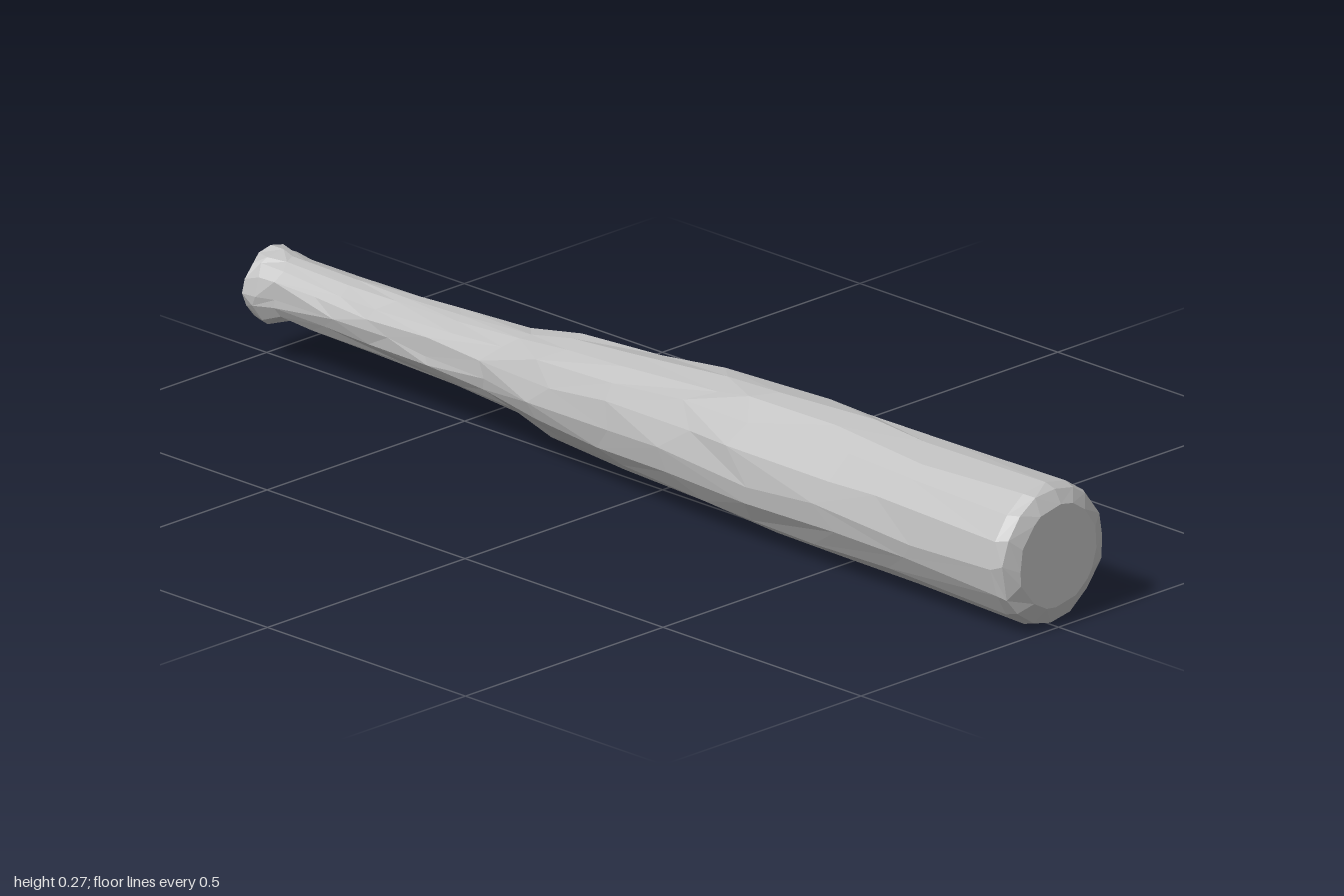
import * as THREE from 'three';

const SIDES = 16;

// Stations along the bat: x, centre y, radius, jitter along x, jitter of radius
const STATIONS = [
  [-1.0, 0.139, 0.052, 0, 0.003],
  [-0.99, 0.138, 0.069, 0.004, 0.003],
  [-0.965, 0.138, 0.07, 0.01, 0.004],
  [-0.925, 0.139, 0.059, 0.015, 0.004],
  [-0.8, 0.138, 0.06, 0.05, 0.004],
  [-0.65, 0.137, 0.061, 0.055, 0.004],
  [-0.5, 0.136, 0.065, 0.05, 0.004],
  [-0.36, 0.136, 0.074, 0.045, 0.003],
  [-0.2, 0.136, 0.095, 0.05, 0.003],
  [-0.03, 0.136, 0.109, 0.06, 0.003],
  [0.15, 0.137, 0.122, 0.06, 0.003],
  [0.32, 0.138, 0.129, 0.06, 0.0025],
  [0.5, 0.137, 0.13, 0.06, 0.0025],
  [0.7, 0.136, 0.131, 0.06, 0.0025],
  [0.965, 0.134, 0.134, 0.004, 0],
  [0.985, 0.134, 0.126, 0.003, 0.002],
  [1.0, 0.134, 0.098, 0, 0.004],
];

function seeded(seed) {
  return () => {
    seed = (seed * 16807) % 2147483647;
    return (seed / 2147483647) * 2 - 1;
  };
}

// Hand-carved skin: slightly uneven rings joined by triangles, closed at both ends
function carvedBody() {
  const rand = seeded(4711);
  const positions = [];
  const index = [];
  for (const [x, cy, radius, jx, jr] of STATIONS) {
    for (let i = 0; i < SIDES; i++) {
      const wobble = jr > 0 ? rand() * 0.1 : 0;
      const a = (i / SIDES) * Math.PI * 2 + wobble;
      const r = radius + rand() * jr;
      positions.push(x + rand() * jx, cy + Math.cos(a) * r, Math.sin(a) * r);
    }
  }
  // Skin, facing outwards, with the diagonals running either way
  for (let s = 0; s < STATIONS.length - 1; s++) {
    for (let i = 0; i < SIDES; i++) {
      const a = s * SIDES + i, b = s * SIDES + ((i + 1) % SIDES);
      const c = a + SIDES, d = b + SIDES;
      if (rand() > 0) index.push(a, b, c, b, d, c);
      else index.push(a, d, c, a, b, d);
    }
  }
  // Flat end faces
  const last = (STATIONS.length - 1) * SIDES;
  for (let i = 1; i < SIDES - 1; i++) {
    index.push(0, i + 1, i);
    index.push(last, last + i, last + i + 1);
  }
  const indexed = new THREE.BufferGeometry();
  indexed.setAttribute('position', new THREE.Float32BufferAttribute(positions, 3));
  indexed.setIndex(index);
  const geometry = indexed.toNonIndexed();
  geometry.computeVertexNormals();
  return geometry;
}

export function createModel() {
  const group = new THREE.Group();
  group.name = 'club';
  const grey = new THREE.MeshStandardMaterial({ color: 0xc0c0c0, flatShading: true });
  grey.name = 'plain grey';
  const body = new THREE.Mesh(carvedBody(), grey);
  body.name = 'carvedBat';
  group.add(body);
  return group;
}
